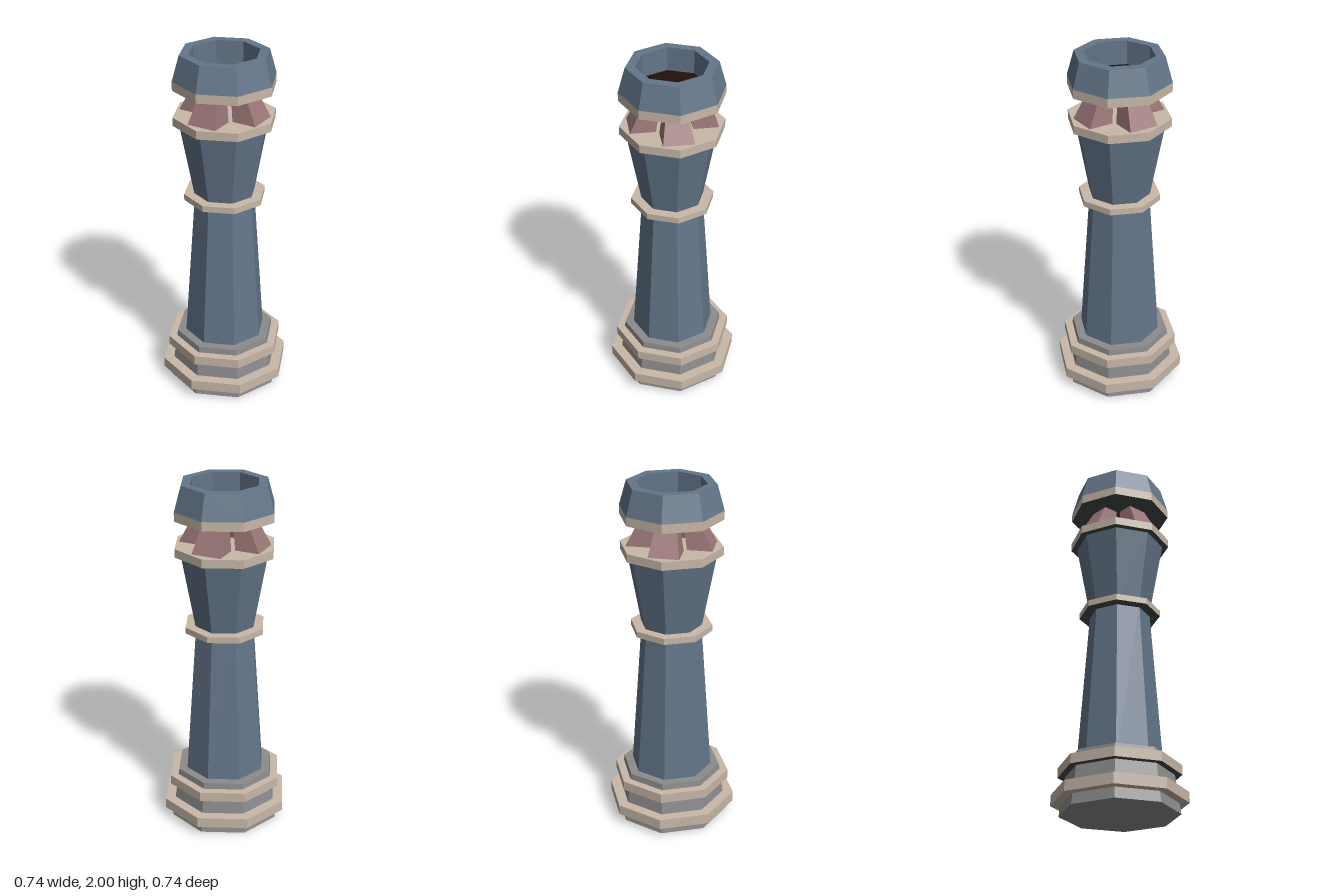
import * as THREE from 'three';

const flat = (name, color) => {
  const m = new THREE.MeshStandardMaterial({ color, flatShading: true });
  m.name = name;
  return m;
};

export function createModel() {
  const blue = flat('slateBlue', 0x64768a);
  const tan = flat('sandstone', 0xc8b8a8);
  const gray = flat('stoneGray', 0x8c8c8c);
  const pink = flat('dustyRose', 0x9a7676);
  const ember = flat('darkRed', 0x250e0e);
  const shade = flat('charcoal', 0x454a4a);
  const tower = new THREE.Group();
  tower.name = 'tower';

  const add = (name, geometry, material) => {
    const mesh = new THREE.Mesh(geometry, material);
    mesh.name = name;
    tower.add(mesh);
    return mesh;
  };

  // Octagonal frustum between two heights
  const octagon = (name, y0, y1, r0, r1, material) => {
    const g = new THREE.CylinderGeometry(r1, r0, y1 - y0, 8);
    g.translate(0, (y0 + y1) / 2, 0);
    return add(name, g, material);
  };

  // Plinth and shaft
  octagon('plinth', 0, 0.305, 0.325, 0.283, gray);
  octagon('lowerShaft', 0.2, 1.18, 0.24, 0.17, blue);
  octagon('upperShaft', 1.18, 1.62, 0.17, 0.252, blue);

  // Stone rings; the higher ones have dark undersides
  octagon('baseRing', 0.06, 0.12, 0.37, 0.37, tan);
  const rings = [
    ['plinthRing', 0.215, 0.27, 0.335],
    ['waistRing', 1.16, 1.195, 0.23],
    ['balconyRing', 1.61, 1.657, 0.285],
    ['crownRing', 1.81, 1.86, 0.285],
  ];
  for (const [name, y0, y1, r] of rings) octagon(name, y0, y1, r, r, [tan, tan, shade]);

  // Four leaning, tapered supports on the diagonals
  for (let i = 0; i < 4; i++) {
    const g = new THREE.BoxGeometry(1, 1, 1);
    const p = g.attributes.position;
    for (let k = 0; k < p.count; k++) {
      const top = p.getY(k) > 0;
      const outer = p.getZ(k) > 0;
      const halfWidth = top ? 0.055 : 0.085;
      const radius = outer ? (top ? 0.155 : 0.24) : (top ? 0.07 : 0.1);
      p.setXYZ(k, Math.sign(p.getX(k)) * halfWidth, top ? 1.815 : 1.65, radius);
    }
    g.computeVertexNormals();
    add('support', g, pink).rotation.y = Math.PI / 4 + (i * Math.PI) / 2;
  }

  // Hollow crown with a dark floor
  const profile = [[0.285, 1.86], [0.245, 2], [0.193, 2], [0.193, 1.86]];
  const crown = new THREE.LatheGeometry(profile.map(([x, y]) => new THREE.Vector2(x, y)), 8);
  add('crown', crown, blue);
  octagon('crownFloor', 1.859, 1.866, 0.193, 0.193, ember);

  return tower;
}
